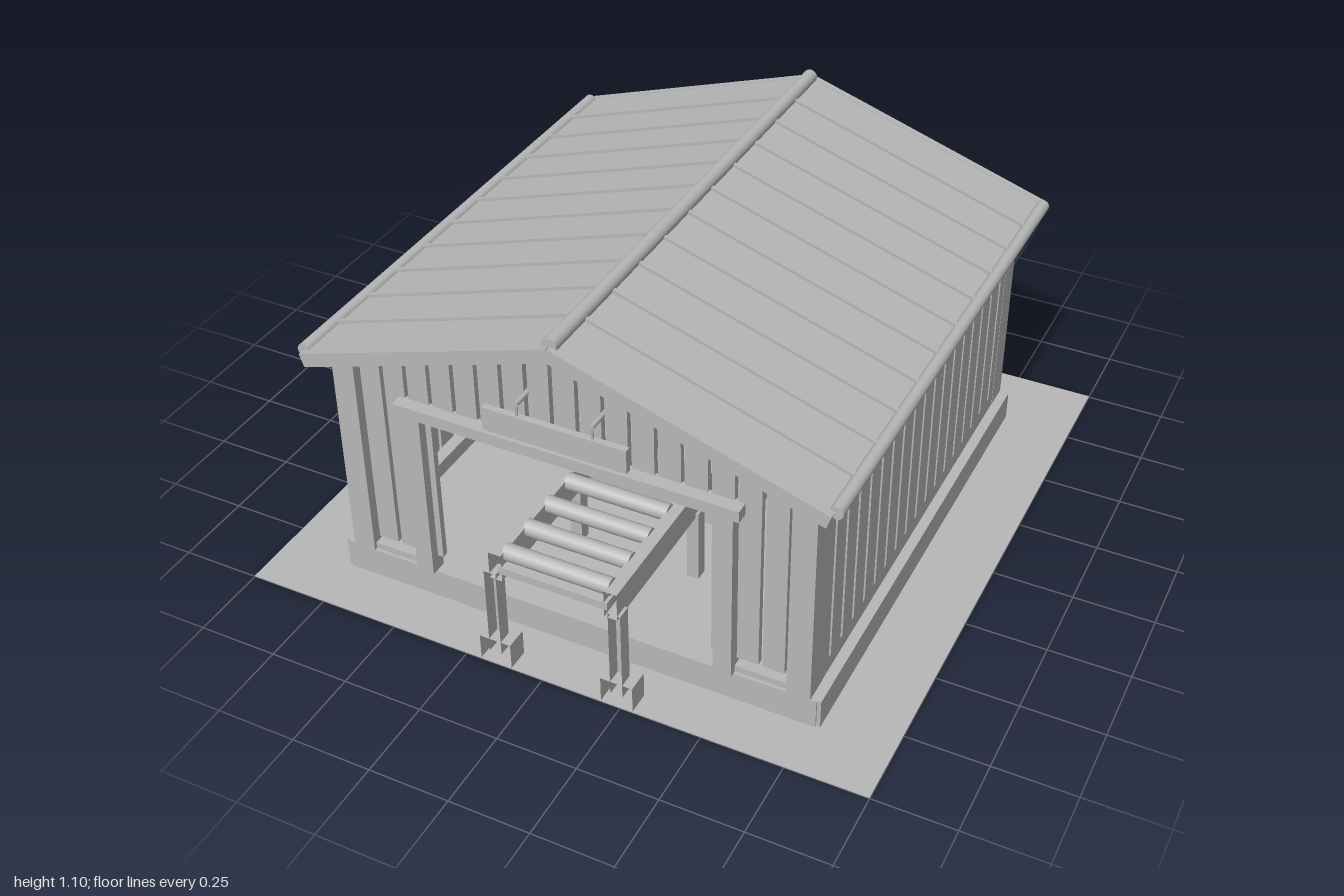
import * as THREE from 'three';

const grey = new THREE.MeshStandardMaterial({ color: 0xb8b8b8, side: THREE.DoubleSide });
grey.name = 'weathered grey';

function add(parent, name, geometry, x = 0, y = 0, z = 0) {
  const mesh = new THREE.Mesh(geometry, grey);
  mesh.name = name;
  mesh.position.set(x, y, z);
  parent.add(mesh);
  return mesh;
}

// Box given by its limits; openSide removes the +z (4) or -z (5) face
function box(parent, name, x0, x1, y0, y1, z0, z1, openSide) {
  const g = new THREE.BoxGeometry(x1 - x0, y1 - y0, z1 - z0);
  if (openSide) {
    const index = Array.from(g.index.array);
    index.splice(openSide * 6, 6);
    g.setIndex(index);
    g.clearGroups();
  }
  return add(parent, name, g, (x0 + x1) / 2, (y0 + y1) / 2, (z0 + z1) / 2);
}

// Cylinder lying along x or z, or standing along y
function rod(parent, name, r, length, axis, x, y, z, sides = 16) {
  const g = new THREE.CylinderGeometry(r, r, length, sides);
  if (axis === 'x') g.rotateZ(Math.PI / 2);
  if (axis === 'z') g.rotateX(Math.PI / 2);
  return add(parent, name, g, x, y, z);
}

const SLOPE = 0.327;
const roofUnderside = x => 1.045 - SLOPE * Math.abs(x);

// Vertical gable board with its top cut to the roof slope
function gableBoard(parent, x0, x1, y0, z) {
  const s = new THREE.Shape();
  s.moveTo(x0, y0);
  s.lineTo(x1, y0);
  s.lineTo(x1, roofUnderside(x1));
  if (x0 < 0 && x1 > 0) s.lineTo(0, roofUnderside(0));
  s.lineTo(x0, roofUnderside(x0));
  add(parent, 'gableBoard', new THREE.ExtrudeGeometry(s, { depth: 0.02, bevelEnabled: false }), 0, 0, z);
}

function gableWall(parent, z, doorHalf, doorTop, shift) {
  const pitch = 0.0785, width = 0.066;
  for (let i = -8; i <= 8; i++) {
    const x = i * pitch + shift;
    const overDoor = Math.abs(x) < doorHalf;
    gableBoard(parent, x - width / 2, x + width / 2, overDoor ? doorTop : 0.15, z);
  }
}

function buildShed() {
  const shed = new THREE.Group();
  shed.name = 'shed';
  shed.position.set(0.005, 0, 0.03);
  box(shed, 'foundation', -0.765, 0.765, 0, 0.1, -0.8, 0.8);
  for (const s of [-1, 1]) {
    const x = s * 0.767;
    box(shed, 'foundationCurb', x - 0.01, x + 0.01, 0, 0.1, -0.795, 0.795);
    // Corner posts, sills and wall plates
    for (const t of [-1, 1]) {
      box(shed, 'cornerPost', s * 0.71 - 0.036, s * 0.71 + 0.036, 0.1, 0.81, t * 0.757 - 0.043, t * 0.757 + 0.043);
    }
    box(shed, 'sideSill', s * 0.715 - 0.03, s * 0.715 + 0.03, 0.1, 0.15, -0.72, 0.72);
    box(shed, 'wallPlate', s * 0.7 - 0.03, s * 0.7 + 0.03, 0.775, 0.81, -0.8, 0.8);
    // Side boards, spaced with narrow gaps
    for (let i = 0; i < 18; i++) {
      const z = -0.7055 + i * 0.083 + (s < 0 ? 0.014 : 0);
      box(shed, 'sideBoard', s * 0.735 - 0.01, s * 0.735 + 0.01, 0.15, 0.8, z - 0.0345, z + 0.0345);
    }
  }
  // Front gable with wide doorway, rear gable with small doorway
  gableWall(shed, 0.765, 0.47, 0.67, 0);
  gableWall(shed, -0.785, 0.27, 0.535, 0.012);
  for (const s of [-1, 1]) {
    box(shed, 'frontDoorPost', s * 0.485 - 0.028, s * 0.485 + 0.028, 0.1, 0.67, 0.76, 0.815);
    box(shed, 'rearDoorPost', s * 0.285 - 0.025, s * 0.285 + 0.025, 0.1, 0.54, -0.81, -0.76);
    box(shed, 'frontSill', s * 0.575 - 0.1, s * 0.575 + 0.1, 0.1, 0.122, 0.75, 0.79);
    box(shed, 'rearSill', s * 0.465 - 0.21, s * 0.465 + 0.21, 0.1, 0.122, -0.79, -0.75);
    for (const t of [-1, 1]) rod(shed, 'signPeg', 0.008, 0.08, 'z', s * 0.115, 0.855, t * 0.805, 8);
    rod(shed, 'signHanger', 0.004, 0.06, 'y', s * 0.115, 0.83, 0.84, 6);
  }
  box(shed, 'frontLintel', -0.535, 0.535, 0.67, 0.707, 0.775, 0.825);
  box(shed, 'rearLintel', -0.33, 0.33, 0.54, 0.575, -0.815, -0.765);
  box(shed, 'hangingBoard', -0.22, 0.22, 0.74, 0.815, 0.83, 0.85);
  // Three plates hung on a rail on the outside of one wall
  box(shed, 'plateRail', -0.77, -0.745, 0.615, 0.65, -0.4, 0.18);
  for (let i = 0; i < 3; i++) {
    const z = -0.3 + i * 0.19;
    box(shed, 'wallPanel', -0.767, -0.745, 0.44, 0.62, z - 0.08, z + 0.08);
  }
  return shed;
}

function buildRoof() {
  const roof = new THREE.Group();
  roof.name = 'roof';
  roof.position.set(0.005, 0, 0.03);
  const length = 0.845;
  for (const s of [-1, 1]) {
    const half = new THREE.Group();
    half.name = 'roofHalf';
    half.position.y = 1.072;
    half.rotation.z = -s * Math.atan(SLOPE);
    const span = (name, a, b, y0, y1, z0, z1) =>
      box(half, name, Math.min(s * a, s * b), Math.max(s * a, s * b), y0, y1, z0, z1);
    span('roofSheet', 0, length, -0.012, 0.006, -0.84, 0.84);
    for (let i = 0; i < 10; i++) {
      const z = -0.68 + i * 0.152;
      span('roofSeam', 0.02, length, 0.006, 0.016, z - 0.006, z + 0.006);
    }
    for (const t of [-1, 1]) span('bargeBoard', 0, length, -0.035, 0.008, t * 0.852 - 0.011, t * 0.852 + 0.011);
    roof.add(half);
    rod(roof, 'eaveRoll', 0.02, 1.675, 'z', s * 0.808, 0.813, 0);
  }
  rod(roof, 'ridgeRoll', 0.023, 1.695, 'z', 0, 1.08, 0);
  return roof;
}

// Roller table running through a doorway, cut off at the plot edge
function buildDeck(name, dir) {
  const deck = new THREE.Group();
  deck.name = name;
  const zBox = (part, x0, x1, y0, y1, a, b, open) =>
    box(deck, part, x0, x1, y0, y1, Math.min(a, b), Math.max(a, b), open);
  const open = dir > 0 ? 4 : 5;
  const inner = dir > 0 ? 0.35 : -0.4;
  const cut = dir > 0 ? 4 : 0;
  const [f0, f1, p0, p1] = dir > 0 ? [0.93, 1, 0.955, 1] : [-0.83, -0.94, -0.86, -0.91];
  for (const s of [-1, 1]) {
    const x = 0.05 + s * 0.18, px = 0.045 + s * 0.195;
    zBox('deckRail', x - 0.02, x + 0.02, 0.33, 0.42, inner, dir, open);
    zBox('deckPost', px - 0.019, px + 0.019, 0.045, 0.345, p0, p1, cut);
    zBox('deckFooting', px - 0.05, px + 0.05, 0.005, 0.09, f0, f1, cut);
    const legZ = dir * 0.5;
    zBox('innerLeg', px - 0.019, px + 0.019, 0.1, 0.345, legZ - 0.02, legZ + 0.02);
  }
  const first = dir > 0 ? 0.96 : -0.89;
  for (let i = 0; i < 5; i++) {
    rod(deck, 'deckRoller', 0.026, 0.33, 'x', 0.05, 0.407, first - dir * i * 0.115);
  }
  zBox('crossTie', -0.12, 0.22, 0.355, 0.38, p0, p1);
  return deck;
}

function buildSaw() {
  const saw = new THREE.Group();
  saw.name = 'sawBench';
  box(saw, 'benchBase', -0.285, 0.285, 0.1, 0.255, -0.28, 0.28);
  box(saw, 'benchTopLeft', -0.25, -0.04, 0.255, 0.29, -0.3, 0.3);
  box(saw, 'benchTopRight', 0.04, 0.3, 0.255, 0.29, -0.3, 0.3);
  rod(saw, 'sawBlade', 0.11, 0.006, 'x', 0, 0.26, 0, 32);
  box(saw, 'bladeGuardPost', 0.125, 0.19, 0.25, 0.525, -0.2, -0.14);
  const guard = box(saw, 'bladeGuard', -0.125, 0.125, -0.016, 0.016, -0.17, 0.05);
  guard.position.set(0.035, 0.503, -0.06);
  guard.rotation.z = 0.3;
  // Drive motor with its flywheel
  box(saw, 'motor', -0.31, -0.19, 0.25, 0.42, -0.1, 0.12);
  rod(saw, 'flywheel', 0.07, 0.03, 'z', -0.265, 0.305, 0.16, 24);
  rod(saw, 'flywheelHub', 0.026, 0.06, 'z', -0.265, 0.305, 0.16, 16);
  return saw;
}

export function createModel() {
  const model = new THREE.Group();
  model.name = 'sawmillShed';
  box(model, 'ground', -1, 1, 0, 0.004, -1, 1);
  model.add(buildShed(), buildRoof(), buildDeck('frontDeck', 1), buildDeck('rearDeck', -1), buildSaw());
  return model;
}
